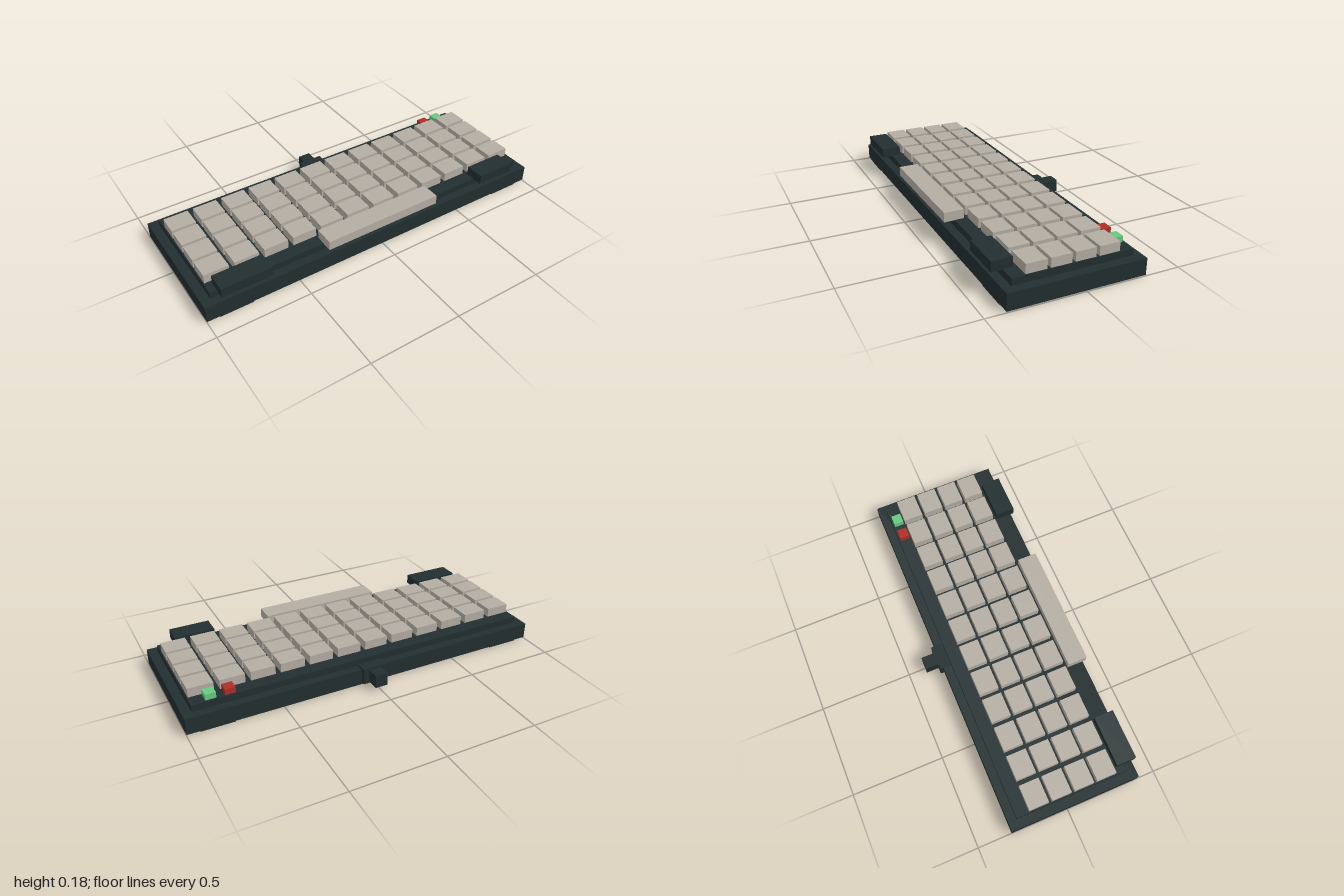
import * as THREE from 'three';

const mat = (name, color) => {
  const m = new THREE.MeshStandardMaterial({ color });
  m.name = name;
  return m;
};

export function createModel() {
  const dark = mat('dark casing', 0x222e2f);
  const beige = mat('beige keycap', 0xb4ada3);
  const red = mat('red lamp', 0xb02e28);
  const green = mat('green lamp', 0x65c97f);
  const model = new THREE.Group();
  model.name = 'keyboard';

  // Box given by its minimum and maximum on each axis
  const box = (name, material, [x0, x1], [y0, y1], [z0, z1], parent = model) => {
    const mesh = new THREE.Mesh(new THREE.BoxGeometry(x1 - x0, y1 - y0, z1 - z0), material);
    mesh.position.set((x0 + x1) / 2, (y0 + y1) / 2, (z0 + z1) / 2);
    mesh.name = name;
    parent.add(mesh);
    return mesh;
  };

  // Casing and raised deck
  box('base', dark, [-1, 1], [0.005, 0.093], [-0.315, 0.396]);
  box('deck', dark, [-0.952, 0.952], [0.093, 0.129], [-0.27, 0.351]);

  // Feet
  for (const x of [-0.845, 0.845]) {
    for (const z of [-0.226, 0.308]) {
      box('foot', dark, [x - 0.088, x + 0.088], [0, 0.005], [z - 0.088, z + 0.088]);
    }
  }

  // Main key grid
  const keys = new THREE.Group();
  keys.name = 'keyGrid';
  model.add(keys);
  for (let row = 0; row < 4; row++) {
    for (let col = 0; col < 12; col++) {
      const x = (col - 5.5) * 0.16, z = -0.146 + row * 0.1243;
      box('key', beige, [x - 0.0655, x + 0.0655], [0.129, 0.178], [z - 0.0535, z + 0.0535], keys);
    }
  }

  // Front row, overhanging the deck
  const frontZ = [0.299, 0.405];
  box('spaceBar', beige, [-0.334, 0.334], [0.127, 0.178], frontZ);
  box('rightWideKey', dark, [-0.915, -0.648], [0.126, 0.178], frontZ);
  box('leftWideKey', dark, [0.645, 0.864], [0.126, 0.178], frontZ);

  // Indicator lamps
  box('redLamp', red, [0.726, 0.781], [0.129, 0.161], [-0.261, -0.208]);
  box('greenLamp', green, [0.824, 0.879], [0.129, 0.161], [-0.261, -0.208]);

  // Cable socket and plug at the back
  box('socket', dark, [-0.066, 0.066], [0.015, 0.102], [-0.336, -0.272]);
  box('plug', dark, [-0.034, 0.034], [0.024, 0.093], [-0.405, -0.336]);

  return model;
}
